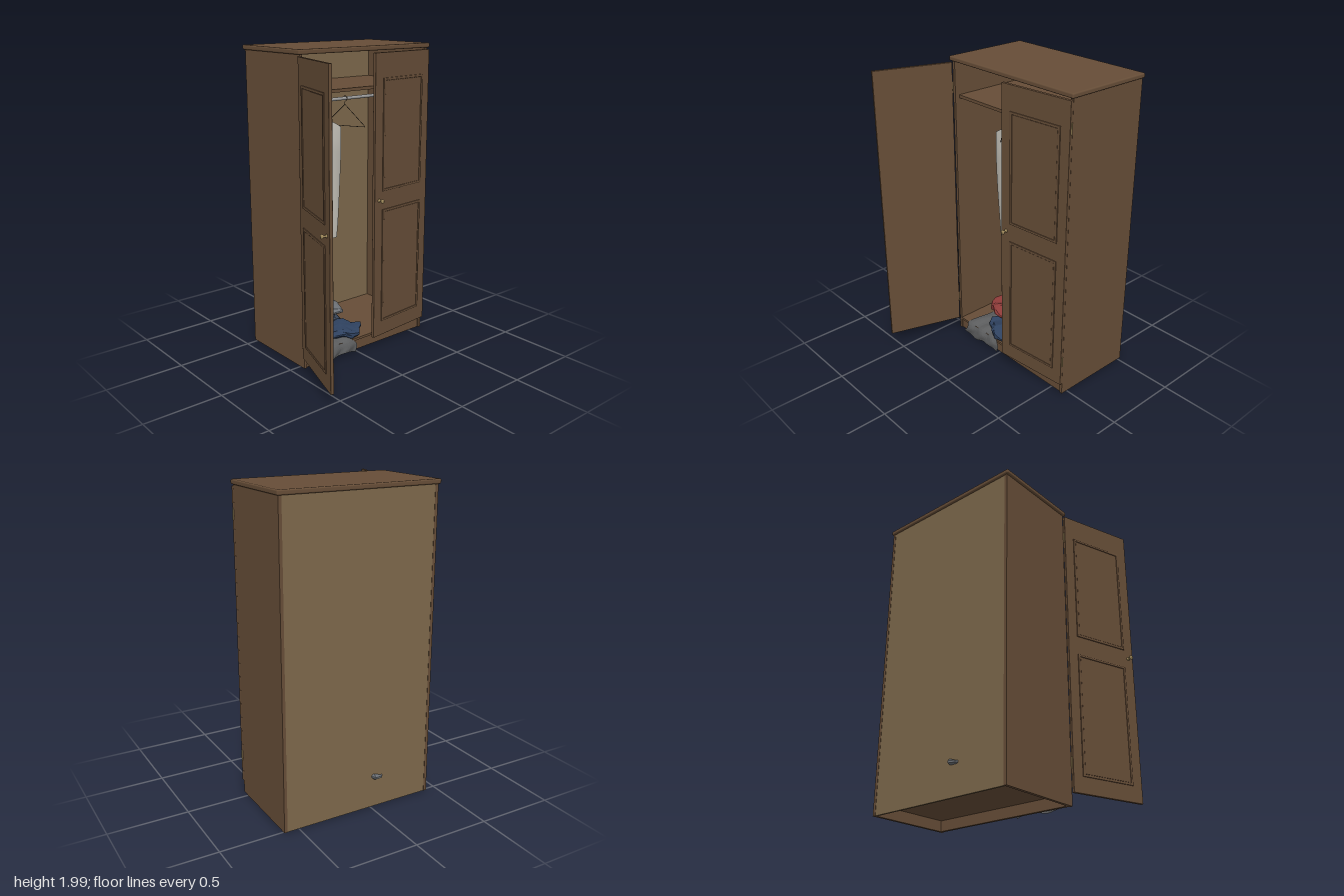
import * as THREE from 'three';
import { RoundedBoxGeometry } from 'three/addons/geometries/RoundedBoxGeometry.js';

const mat = (color, extra = {}) => Object.assign(new THREE.MeshStandardMaterial({ color }), extra);
const wood = mat(0x664d37);
const backWood = mat(0x7d684b);
const brass = mat(0xa08a5c);
const steel = mat(0x9a9a9a);
const wire = mat(0x3a332c);
const linen = mat(0xc4c1b8, { side: THREE.DoubleSide });
const cloth = (color) => mat(color, { side: THREE.DoubleSide, flatShading: true });

function add(parent, name, geometry, material, x = 0, y = 0, z = 0) {
  const mesh = new THREE.Mesh(geometry, material);
  mesh.name = name;
  mesh.position.set(x, y, z);
  parent.add(mesh);
  return mesh;
}

// Box given by its limits on each axis
function slab(parent, name, material, [x0, x1], [y0, y1], [z0, z1]) {
  return add(parent, name, new THREE.BoxGeometry(x1 - x0, y1 - y0, z1 - z0), material,
    (x0 + x1) / 2, (y0 + y1) / 2, (z0 + z1) / 2);
}

// Rectangular bead with a sloped edge around a door panel
function beadGeometry(w, h) {
  const rect = (T, a, b) => {
    const p = new T();
    p.moveTo(-a, -b); p.lineTo(a, -b); p.lineTo(a, b); p.lineTo(-a, b); p.closePath();
    return p;
  };
  const shape = rect(THREE.Shape, w / 2 - 0.003, h / 2 - 0.003);
  shape.holes.push(rect(THREE.Path, w / 2 - 0.013, h / 2 - 0.013));
  return new THREE.ExtrudeGeometry(shape, {
    depth: 0.002, bevelEnabled: true, bevelThickness: 0.003, bevelSize: 0.003, bevelSegments: 2,
  });
}

// Door hinged at its origin; dir is the side it extends to, outer face at +z
function door(name, dir) {
  const g = new THREE.Group();
  g.name = name;
  const W = 0.505, T = 0.02;
  add(g, 'doorBoard', new RoundedBoxGeometry(W, 1.87, T, 2, 0.002), wood, dir * W / 2, 1.025, T / 2);
  for (const [y0, y1] of [[0.19, 0.965], [1.085, 1.805]]) {
    const x = dir * 0.25, y = (y0 + y1) / 2;
    add(g, 'panelBead', beadGeometry(0.37, y1 - y0), wood, x, y, T + 0.002);
    add(g, 'panelField', new THREE.BoxGeometry(0.335, y1 - y0 - 0.035, 0.006), wood, x, y, T + 0.001);
  }
  // Turned knob
  const profile = [[0, 0], [0.011, 0], [0.011, 0.003], [0.006, 0.008], [0.006, 0.02],
    [0.012, 0.026], [0.014, 0.032], [0.011, 0.037], [0, 0.039]].map(p => new THREE.Vector2(...p));
  const knob = add(g, 'knob', new THREE.LatheGeometry(profile, 20), brass, dir * 0.465, 1.03, T);
  knob.rotation.x = Math.PI / 2;
  // Hinge barrels
  for (const y of [0.265, 1.8]) {
    add(g, 'hinge', new THREE.CylinderGeometry(0.005, 0.005, 0.07, 10), brass, -dir * 0.001, y, 0.008);
  }
  return g;
}

// Wire hanger hooked over the rail
function hanger(x, angle, half = 0.145) {
  const g = new THREE.Group();
  g.name = 'hanger';
  const v = (a, b) => new THREE.Vector3(a, b, 0);
  const frame = new THREE.CurvePath();
  const corners = [v(0, -0.04), v(-half, -0.18), v(half, -0.18), v(0, -0.04)];
  for (let i = 0; i < 3; i++) frame.add(new THREE.LineCurve3(corners[i], corners[i + 1]));
  add(g, 'hangerFrame', new THREE.TubeGeometry(frame, 60, 0.002, 5), wire);
  const hook = new THREE.CatmullRomCurve3(
    [v(0, -0.04), v(0, -0.022), v(0.014, -0.008), v(0.012, 0.01), v(0, 0.016), v(-0.013, 0.008)]);
  add(g, 'hangerHook', new THREE.TubeGeometry(hook, 20, 0.002, 5), wire);
  g.position.set(x, 1.65, -0.23);
  g.rotation.y = angle;
  return g;
}

// Hanging shirt: a flattened tube with an arched shoulder line
function shirtGeometry() {
  const geo = new THREE.CylinderGeometry(1, 1, 1, 48, 20, true);
  const p = geo.attributes.position;
  for (let i = 0; i < p.count; i++) {
    const t = p.getY(i) + 0.5, a = Math.atan2(p.getZ(i), p.getX(i));
    const half = 0.16 + 0.045 * Math.sin(Math.min(1, t * 1.1) * Math.PI / 2);
    const c = Math.cos(a), x = half * c;
    const top = 1.55 - 0.08 * Math.pow(Math.abs(c), 1.7);
    const thick = 0.025 * Math.min(1, (1 - t) * 5);
    const fold = 0.006 * Math.sin(x * 45 + t * 3) * (1 - t);
    p.setXYZ(i, x, 0.73 + (top - 0.73) * t, thick * Math.sin(a) + fold);
  }
  geo.computeVertexNormals();
  return geo;
}

// Crumpled garment: a flattened lumpy ball
function crumpled(sx, sy, sz, seed) {
  const geo = new THREE.SphereGeometry(1, 16, 9);
  const p = geo.attributes.position;
  for (let i = 0; i < p.count; i++) {
    const x = p.getX(i), y = p.getY(i), z = p.getZ(i);
    const r = 1 + 0.12 * Math.sin(4 * x + seed) * Math.cos(5 * z + 2 * seed) + 0.07 * Math.sin(9 * z - 6 * x + seed);
    p.setXYZ(i, x * r * sx, y * r * sy + 0.012 * Math.sin(5 * x + 3 * z + seed), z * r * sz);
  }
  geo.computeVertexNormals();
  return geo;
}

// Cloth lying on the floor board and hanging over the plinth
function drapeGeometry() {
  const geo = new THREE.PlaneGeometry(1, 1, 14, 16);
  const p = geo.attributes.position;
  const path = new THREE.CatmullRomCurve3([[0.105, -0.16], [0.115, -0.06], [0.1, 0.045],
    [0.075, 0.063], [0.04, 0.068], [0.005, 0.066]].map(([y, z]) => new THREE.Vector3(0, y, z)));
  for (let i = 0; i < p.count; i++) {
    const u = p.getX(i), t = 0.5 - p.getY(i), q = path.getPoint(t);
    const x = -0.17 + u * (0.27 + 0.07 * t) + 0.01 * Math.sin(t * 11);
    const ripple = 0.005 * Math.sin(u * 17 + t * 4);
    const hem = t > 0.6 ? (t - 0.6) * 0.05 * (0.5 + 0.5 * Math.sin(u * 8)) : 0;
    p.setXYZ(i, x, Math.max(0, q.y + hem + (t < 0.5 ? ripple : 0)), q.z + (t >= 0.5 ? ripple : 0));
  }
  geo.computeVertexNormals();
  return geo;
}

export function createModel() {
  const model = new THREE.Group();
  model.name = 'wardrobe';

  // Carcass
  const inner = [-0.405, 0.58], depth = [-0.51, 0.05];
  slab(model, 'rightSide', wood, [-0.425, -0.405], [0.01, 1.97], [-0.52, 0.05]);
  slab(model, 'leftSide', wood, [0.58, 0.6], [0.01, 1.97], [-0.52, 0.05]);
  slab(model, 'backPanel', backWood, inner, [0.01, 1.97], [-0.518, -0.505]);
  slab(model, 'floorBoard', wood, inner, [0.078, 0.094], depth);
  slab(model, 'plinth', wood, inner, [0.01, 0.078], [0.022, 0.042]);
  slab(model, 'shelf', wood, inner, [1.73, 1.75], [-0.505, 0.02]);
  add(model, 'topBoard', new RoundedBoxGeometry(1.05, 0.03, 0.597, 3, 0.009), wood, 0.085, 1.985, -0.232);

  // Doors
  const rightDoor = door('rightDoor', 1);
  rightDoor.position.set(-0.42, 0, 0.058);
  rightDoor.rotation.y = THREE.MathUtils.degToRad(-108);
  const leftDoor = door('leftDoor', -1);
  leftDoor.position.set(0.6, 0, 0.05);
  leftDoor.rotation.y = THREE.MathUtils.degToRad(5.2);
  model.add(rightDoor, leftDoor);

  // Rail, hangers and shirt
  const rail = add(model, 'hangingRail', new THREE.CylinderGeometry(0.011, 0.011, 0.985, 20), steel, 0.0875, 1.65, -0.23);
  rail.rotation.z = Math.PI / 2;
  for (const [x, angle] of [[-0.22, -1.1], [-0.145, -1.15], [0.14, -1.1]]) model.add(hanger(x, angle));
  add(model, 'shirt', shirtGeometry(), linen, -0.115, 0, -0.21);

  // Clothes heap on the floor
  const heap = [
    ['redGarment', 0x8c3a38, [0.13, 0.035, 0.12], [-0.19, 0.18, -0.2], 0.3],
    ['blueGarment', 0x2f4260, [0.16, 0.032, 0.13], [-0.04, 0.13, -0.07], 1.2],
    ['darkGarment', 0x3a4658, [0.12, 0.035, 0.13], [-0.04, 0.14, -0.25], 4.1],
    ['greyGarment', 0x6d7176, [0.12, 0.03, 0.2], [-0.02, 0.215, -0.33], 2.4],
  ];
  for (const [name, color, size, pos, seed] of heap) {
    add(model, name, crumpled(...size, seed), cloth(color), ...pos);
  }
  add(model, 'drapedCloth', drapeGeometry(), cloth(0x5c5d5e));
  return model;
}
